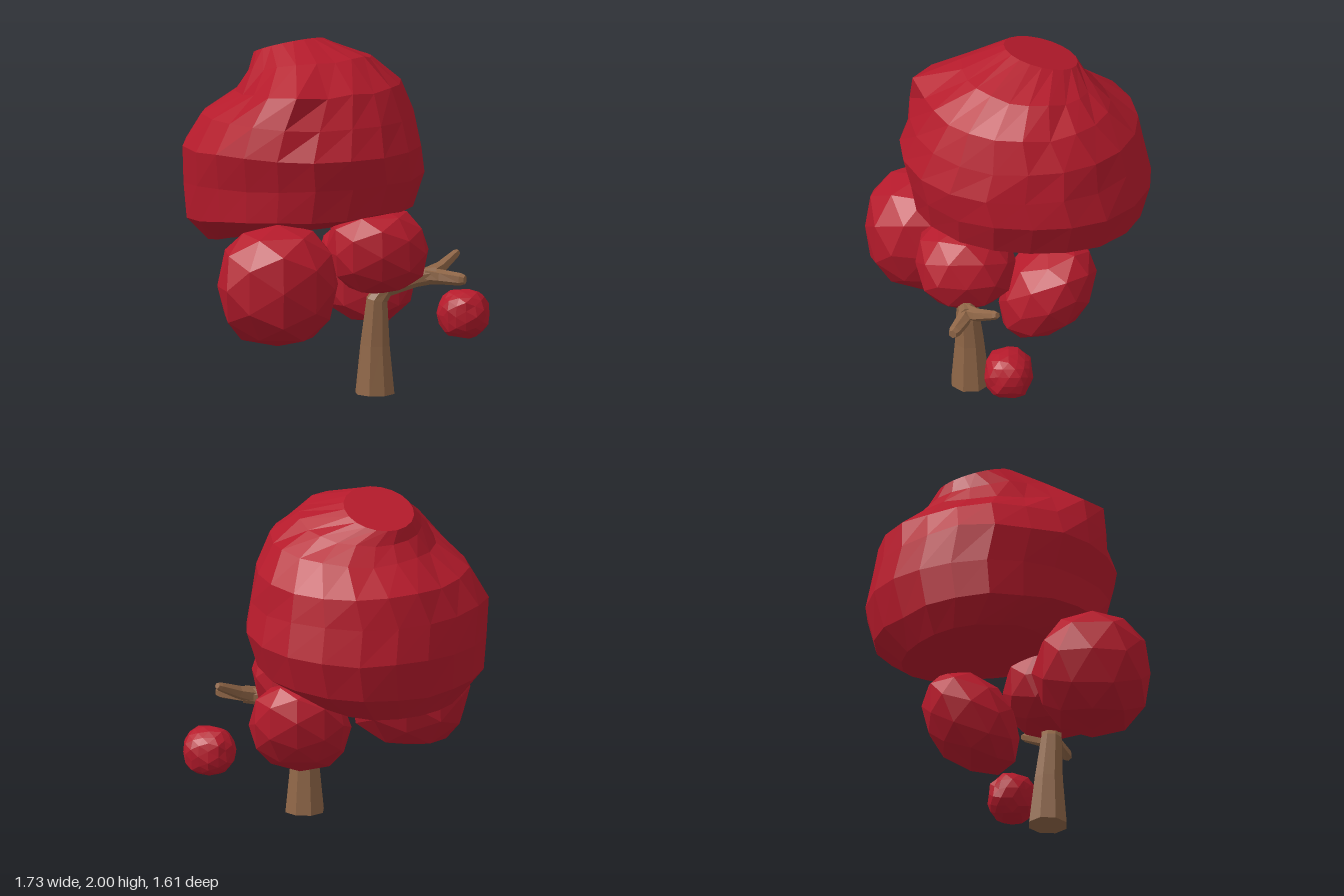
import * as THREE from 'three';

const leafMat = new THREE.MeshStandardMaterial({ color: 0xb51a2b, flatShading: true });
const barkMat = new THREE.MeshStandardMaterial({ color: 0x8f6647, flatShading: true });

// Repeatable noise in -1..1
const noise = (a, b, c) => {
  const s = Math.sin(a * 12.99 + b * 78.23 + c * 37.72) * 43758.55;
  return (s - Math.floor(s)) * 2 - 1;
};

// Skin over rings of points listed from bottom to top, closed at both ends
function loft(rings) {
  const n = rings[0].length, pos = [], idx = [];
  rings.forEach(r => r.forEach(p => pos.push(p.x, p.y, p.z)));
  const addCentre = ring => {
    const c = new THREE.Vector3();
    ring.forEach(p => c.addScaledVector(p, 1 / n));
    pos.push(c.x, c.y, c.z);
    return pos.length / 3 - 1;
  };
  const last = (rings.length - 1) * n;
  const low = addCentre(rings[0]), high = addCentre(rings[rings.length - 1]);
  for (let j = 0; j < n; j++) {
    const k = (j + 1) % n;
    for (let i = 0; i < last; i += n) {
      idx.push(i + j, i + n + j, i + k, i + k, i + n + j, i + n + k);
    }
    idx.push(low, j, k, high, last + k, last + j);
  }
  const g = new THREE.BufferGeometry();
  g.setAttribute('position', new THREE.Float32BufferAttribute(pos, 3));
  g.setIndex(idx);
  g.computeVertexNormals();
  return g;
}

function addMesh(group, name, geometry, material) {
  const mesh = new THREE.Mesh(geometry, material);
  mesh.name = name;
  group.add(mesh);
}

// Tapered limb: stations are [x, y, z, radius]
function limb(stations, sides) {
  const pts = stations.map(s => new THREE.Vector3(s[0], s[1], s[2]));
  const up = new THREE.Vector3(0, 1, 0);
  return loft(pts.map((p, i) => {
    const dir = pts[Math.min(i + 1, pts.length - 1)].clone().sub(pts[Math.max(i - 1, 0)]).normalize();
    const q = new THREE.Quaternion().setFromUnitVectors(up, dir);
    return Array.from({ length: sides }, (_, j) => {
      const a = (j + 0.5) / sides * Math.PI * 2, r = stations[i][3];
      return new THREE.Vector3(Math.cos(a) * r, 0, Math.sin(a) * r).applyQuaternion(q).add(p);
    });
  }));
}

// Large crown: tilted rings [cx, cz, rx, rz, y, tiltX, tiltZ, knob]
function crownGeometry() {
  const sides = 20;
  const rings = [
    [-0.25, -0.19, 0.46, 0.42, 0.87, 0.09, 0.14, 0],
    [-0.20, -0.11, 0.64, 0.65, 1.00, 0.05, 0.06, 0],
    [-0.18, -0.125, 0.68, 0.69, 1.20, 0.04, 0.02, 0],
    [-0.195, -0.08, 0.675, 0.69, 1.39, 0, 0, 0],
    [-0.155, -0.10, 0.60, 0.64, 1.56, 0, 0, 0.06],
    [-0.10, -0.07, 0.47, 0.51, 1.72, 0.04, 0.03, 0.14],
    [-0.14, -0.11, 0.35, 0.36, 1.845, 0.1, 0.14, 0.03],
    [-0.25, -0.19, 0.20, 0.21, 1.93, 0.17, 0.29, 0],
  ];
  return loft(rings.map(([cx, cz, rx, rz, y, tx, tz, knob], i) => {
    // the lower rings are fuller at the +x corners and slimmer at the -x ones
    const skew = THREE.MathUtils.clamp((5.5 - i) / 3, 0, 1);
    return Array.from({ length: sides }, (_, j) => {
      const a = j / sides * Math.PI * 2, c = Math.cos(a), s = Math.sin(a);
      const wobble = i < rings.length - 1 ? 0.01 * noise(i, j, 1) : 0;
      const k = 1 + skew * (c > 0 ? 0.09 : 0.13) * c * Math.abs(s) + wobble;
      const dx = c * rx * k, dz = s * rz * k;
      // knob jutting out high on the front
      const bump = knob * Math.exp(-(((a - 2) / 0.36) ** 2));
      return new THREE.Vector3(
        cx + dx + c * bump, y + tx * dx + tz * dz + wobble + 0.15 * bump, cz + dz + s * bump);
    });
  }));
}

// Boxy faceted leaf clump; lean shears it upward toward the back
function clump(centre, radii, detail, rough, seed, lean = 0) {
  const g = new THREE.IcosahedronGeometry(1, detail);
  const pos = g.attributes.position, v = new THREE.Vector3();
  for (let i = 0; i < pos.count; i++) {
    v.fromBufferAttribute(pos, i);
    const [a, b, c] = v.toArray().map(t => Math.round(t * 50));
    v.fromArray(v.toArray().map((t, n) => Math.sign(t) * Math.abs(t) ** 0.88 * radii[n]));
    v.multiplyScalar(1 + rough * noise(a + seed, b, c));
    v.y -= lean * v.z;
    pos.setXYZ(i, v.x + centre[0], v.y + centre[1], v.z + centre[2]);
  }
  g.computeVertexNormals();
  return g;
}

export function createModel() {
  const tree = new THREE.Group();
  tree.name = 'tree';

  // Trunk bending into a forked branch
  addMesh(tree, 'trunk', limb([
    [0.195, 0, 0.22, 0.115], [0.195, 0.28, 0.225, 0.086], [0.205, 0.54, 0.24, 0.062],
    [0.255, 0.61, 0.24, 0.058], [0.42, 0.66, 0.25, 0.053], [0.54, 0.675, 0.245, 0.05],
  ], 8), barkMat);
  addMesh(tree, 'frontTwig', limb([
    [0.48, 0.67, 0.25, 0.05], [0.56, 0.667, 0.27, 0.043], [0.67, 0.66, 0.322, 0.036], [0.695, 0.66, 0.335, 0.026],
  ], 6), barkMat);
  addMesh(tree, 'backTwig', limb([
    [0.48, 0.668, 0.25, 0.05], [0.57, 0.705, 0.19, 0.038], [0.665, 0.765, 0.095, 0.026], [0.68, 0.775, 0.08, 0.018],
  ], 6), barkMat);

  // Foliage
  addMesh(tree, 'crown', crownGeometry(), leafMat);
  addMesh(tree, 'frontLeafClump', clump([-0.385, 0.675, 0.47], [0.352, 0.35, 0.335], 1, 0.03, 3), leafMat);
  addMesh(tree, 'middleLeafClump', clump([0.205, 0.825, 0.25], [0.295, 0.25, 0.285], 1, 0.03, 7), leafMat);
  addMesh(tree, 'backLeafClump', clump([0.195, 0.64, -0.215], [0.29, 0.265, 0.28], 1, 0.03, 11, 0.36), leafMat);
  addMesh(tree, 'smallLeafClump', clump([0.72, 0.41, 0.02], [0.147, 0.14, 0.14], 2, 0.05, 5), leafMat);

  return tree;
}
